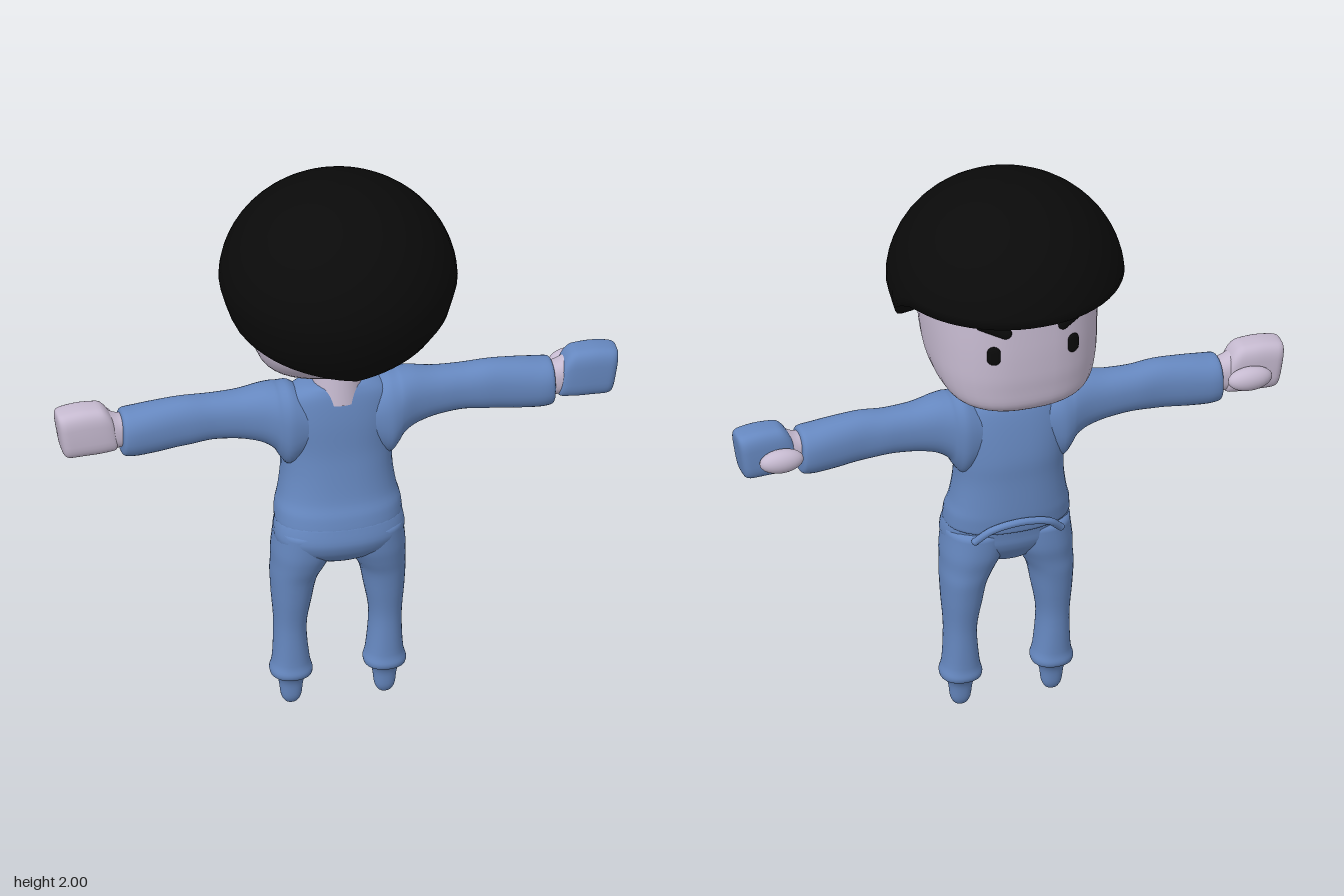
import * as THREE from 'three';

const mat = (name, color, side = THREE.FrontSide) => {
  const m = new THREE.MeshStandardMaterial({ color, side });
  m.name = name;
  return m;
};

// Closed band of rows x cols points; outward when rows run up and columns turn from x to z
function band(rows, cols, point, flip) {
  const pos = [], idx = [];
  for (let i = 0; i < rows; i++) for (let j = 0; j < cols; j++) pos.push(...point(i, (j / cols) * Math.PI * 2));
  for (let i = 0; i < rows - 1; i++) for (let j = 0; j < cols; j++) {
    const a = i * cols + j, b = i * cols + (j + 1) % cols, c = a + cols, d = b + cols;
    if (flip) idx.push(a, b, c, b, d, c);
    else idx.push(a, c, b, b, c, d);
  }
  const g = new THREE.BufferGeometry();
  g.setAttribute('position', new THREE.Float32BufferAttribute(pos, 3));
  g.setIndex(idx);
  g.computeVertexNormals();
  return g;
}

// Smooth interpolation of section rows without overshoot
function refine(sections, steps = 4) {
  const out = [], n = sections.length;
  const slope = (i, k) => {
    const d0 = i > 0 ? sections[i][k] - sections[i - 1][k] : null;
    const d1 = i < n - 1 ? sections[i + 1][k] - sections[i][k] : null;
    if (d0 === null) return d1;
    if (d1 === null) return d0;
    return d0 * d1 > 0 ? (2 * d0 * d1) / (d0 + d1) : 0;
  };
  for (let i = 0; i < n - 1; i++) for (let s = 0; s < steps; s++) {
    const t = s / steps, t2 = t * t, t3 = t2 * t;
    out.push(sections[i].map((v, k) => (2 * t3 - 3 * t2 + 1) * v + (t3 - 2 * t2 + t) * slope(i, k)
      + (3 * t2 - 2 * t3) * sections[i + 1][k] + (t3 - t2) * slope(i + 1, k)));
  }
  out.push(sections[n - 1]);
  return out;
}

// Sections: [position on axis, centre a, centre b, radius a, radius b]
// side 0: axis is y (a = x, b = z); side +1 or -1: axis is +x or -x (a = y, b = z)
function loft(sections, power = 2, side = 0, shear = 0) {
  const rows = refine(sections);
  const sup = v => Math.sign(v) * Math.abs(v) ** (2 / power);
  return band(rows.length, 36, (i, th) => {
    const [t, ca, cb, ra, rb] = rows[i];
    const a = ca + ra * sup(Math.cos(th)), b = cb + rb * sup(Math.sin(th));
    return side ? [side * (t + shear * (a - ca)), a, b] : [a, t, b];
  }, side > 0);
}

// Piecewise linear lookup
function lookup(table, x) {
  for (let i = 1; i < table.length; i++) {
    const [x0, y0] = table[i - 1], [x1, y1] = table[i];
    if (x <= x1) return y0 + (y1 - y0) * Math.max(0, (x - x0) / (x1 - x0));
  }
  return table[table.length - 1][1];
}

export function createModel() {
  const root = new THREE.Group();
  const skin = mat('pale skin', 0xc6bad0);
  const blue = mat('blue cloth', 0x6688c0);
  const black = mat('black hair', 0x0a0a0a, THREE.DoubleSide);
  const add = (name, geometry, material) => {
    const m = new THREE.Mesh(geometry, material);
    m.name = name;
    root.add(m);
    return m;
  };

  // Head and neck
  add('head', loft([
    [1.25, 0, -0.13, 0, 0], [1.256, 0, -0.13, 0.11, 0.09], [1.28, 0, -0.12, 0.19, 0.155],
    [1.31, 0, -0.1, 0.24, 0.2], [1.37, 0, -0.06, 0.272, 0.25], [1.44, 0, -0.033, 0.285, 0.283],
    [1.55, 0, -0.018, 0.29, 0.298], [1.68, 0, -0.015, 0.285, 0.295], [1.8, 0, -0.01, 0.24, 0.25],
    [1.87, 0, -0.01, 0, 0]], 2.5), skin);
  const neck = add('neck', new THREE.CylinderGeometry(0.075, 0.09, 0.14, 28), skin);
  neck.position.set(0, 1.25, -0.015);

  // Bowl of hair: rim drops to a point behind and lifts over the face
  const rim = [[0, 1.4], [28, 1.435], [52, 1.463], [72, 1.493], [80, 1.525], [90, 1.59], [100, 1.64], [109, 1.668], [180, 1.672]];
  const under = [[1.4, 0.28], [1.5, 0.352], [1.53, 0.37], [1.64, 0.4]];
  const radius = y => y > 1.64 ? 0.4 * Math.sqrt(Math.max(0, 1 - ((y - 1.64) / 0.36) ** 2)) : lookup(under, y);
  add('hair', band(20, 60, (i, th) => {
    const low = lookup(rim, 180 - Math.abs(180 - th * 180 / Math.PI));
    let y = low + (2 - low) * Math.cos(Math.min(1, i / 17) * Math.PI / 2), r = radius(y);
    if (i > 17) { // underside turned in to the head
      r *= i === 18 ? 0.9 : 0.72;
      y += i === 18 ? 0.012 : 0.04;
    }
    return [r * Math.sin(th), y, r * Math.cos(th)];
  }), black);

  // Torso and hips
  add('shirt', loft([
    [0.715, 0, -0.005, 0, 0], [0.718, 0, -0.005, 0.205, 0.138], [0.73, 0, -0.006, 0.216, 0.146],
    [0.77, 0, -0.012, 0.213, 0.144], [0.82, 0, -0.022, 0.2, 0.135], [0.92, 0, -0.03, 0.188, 0.125],
    [1.0, 0, -0.035, 0.19, 0.12], [1.1, 0, -0.03, 0.2, 0.11], [1.18, 0, -0.025, 0.19, 0.095],
    [1.22, 0, -0.02, 0.15, 0.08], [1.24, 0, -0.02, 0.09, 0.07], [1.245, 0, -0.02, 0, 0]], 2.3), blue);
  add('hips', loft([
    [0.56, 0, 0, 0, 0], [0.568, 0, 0, 0.06, 0.06], [0.6, 0, 0.008, 0.16, 0.1], [0.64, 0, 0.01, 0.212, 0.13],
    [0.68, 0, 0.01, 0.222, 0.14], [0.74, 0, 0, 0.208, 0.138], [0.76, 0, 0, 0, 0]], 2.3), blue);

  // Waist cord
  const cord = new THREE.CatmullRomCurve3([[0.15, 0.705, -0.135], [0.1, 0.75, -0.157], [0, 0.77, -0.166],
    [-0.1, 0.75, -0.157], [-0.15, 0.705, -0.135]].map(p => new THREE.Vector3(...p)));
  add('waistCord', new THREE.TubeGeometry(cord, 32, 0.013, 10), blue);
  for (const s of [0, 1]) {
    add('cordEnd', new THREE.SphereGeometry(0.0135, 12, 8), blue).position.copy(cord.getPoint(s));
  }

  for (const s of [1, -1]) {
    const side = s > 0 ? 'left' : 'right';

    // Trouser leg with cuff and tapered foot
    add(side + 'Leg', loft([
      [0, 0.16, -0.005, 0, 0], [0.005, 0.16, -0.005, 0.018, 0.016], [0.03, 0.16, -0.005, 0.034, 0.03],
      [0.08, 0.16, -0.006, 0.041, 0.037], [0.108, 0.16, -0.007, 0.052, 0.05], [0.118, 0.16, -0.007, 0.069, 0.068],
      [0.135, 0.16, -0.007, 0.072, 0.073], [0.17, 0.16, -0.008, 0.063, 0.068], [0.3, 0.163, -0.01, 0.054, 0.07],
      [0.42, 0.158, -0.01, 0.067, 0.087], [0.5, 0.152, -0.01, 0.077, 0.1], [0.56, 0.136, -0.005, 0.091, 0.112],
      [0.62, 0.12, -0.003, 0.106, 0.124], [0.7, 0.108, 0, 0.11, 0.128], [0.73, 0.108, 0, 0, 0]
    ].map(([y, x, ...rest]) => [y, s * x, ...rest]), 2.2), blue);

    // Sleeve, flared into the shoulder
    add(side + 'Sleeve', loft([
      [0.1, 1.09, -0.028, 0.1, 0.09], [0.17, 1.085, -0.028, 0.15, 0.105], [0.2, 1.1, -0.028, 0.134, 0.1],
      [0.22, 1.118, -0.028, 0.118, 0.094], [0.27, 1.132, -0.03, 0.1, 0.08], [0.35, 1.135, -0.033, 0.084, 0.068],
      [0.43, 1.137, -0.034, 0.08, 0.064], [0.52, 1.136, -0.03, 0.087, 0.064], [0.62, 1.127, -0.03, 0.089, 0.069],
      [0.7, 1.12, -0.03, 0.086, 0.074], [0.73, 1.12, -0.03, 0.082, 0.071], [0.74, 1.12, -0.03, 0.068, 0.058],
      [0.742, 1.12, -0.03, 0, 0]], 2.3, s), blue);

    // Wrist, mitten hand and thumb
    add(side + 'Wrist', loft([
      [0.7, 1.128, -0.03, 0.055, 0.046], [0.75, 1.13, -0.03, 0.06, 0.048],
      [0.79, 1.14, -0.03, 0.07, 0.05]], 2.4, s), skin);
    add(side + 'Hand', loft([
      [0.76, 1.135, -0.03, 0, 0], [0.765, 1.135, -0.03, 0.06, 0.046], [0.8, 1.15, -0.03, 0.086, 0.058],
      [0.86, 1.15, -0.03, 0.089, 0.061], [0.925, 1.145, -0.03, 0.086, 0.06], [0.945, 1.143, -0.03, 0.08, 0.052],
      [0.952, 1.143, -0.03, 0.06, 0.036], [0.954, 1.143, -0.03, 0, 0]], 3.4, s, 0.16), s > 0 ? blue : skin);
    const thumb = add(side + 'Thumb', new THREE.SphereGeometry(1, 24, 16), skin);
    thumb.scale.set(0.077, 0.042, 0.037);
    thumb.position.set(s * 0.825, 1.14, -0.112);

    // Eye and slanted brow
    const eye = add(side + 'Eye', new THREE.CapsuleGeometry(0.023, 0.026, 6, 16), black);
    eye.scale.z = 0.35;
    eye.position.set(s * 0.14, 1.525, -0.298);
    eye.rotation.y = -s * 0.35;
    const brow = add(side + 'Brow', new THREE.CapsuleGeometry(0.022, 0.085, 6, 16), black);
    brow.scale.z = 0.6;
    brow.position.set(s * 0.14, 1.63, -0.296);
    brow.rotation.set(0, -s * 0.35, Math.PI / 2 + s * 0.38);
  }
  return root;
}
